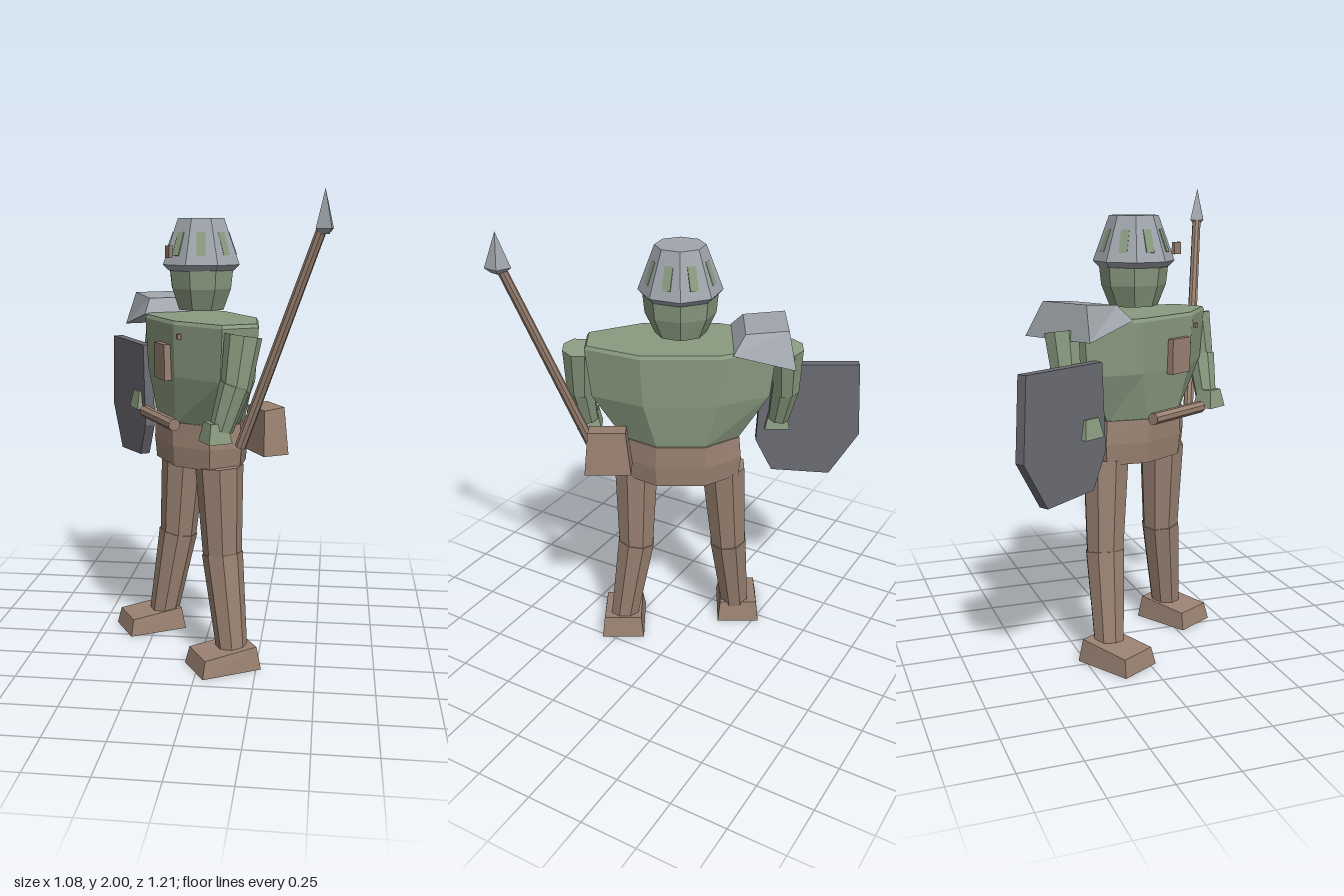
import * as THREE from 'three';

const mat = (name, color) => {
  const m = new THREE.MeshStandardMaterial({ color });
  m.name = name;
  return m;
};

export function createModel() {
  const green = mat('moss green', 0x8a9b80);
  const brown = mat('leather brown', 0x9a8272);
  const steel = mat('steel grey', 0xa0a6ac);
  const dark = mat('dark iron', 0x6c6c74);

  const model = new THREE.Group();
  model.name = 'soldier';
  const body = new THREE.Group();
  body.name = 'body';
  body.rotation.y = -Math.PI / 3; // the figure stands turned to its right
  model.add(body);

  // flat normals for a faceted look
  const add = (name, geo, material, x = 0, y = 0, z = 0) => {
    const g = geo.index ? geo.toNonIndexed() : geo;
    g.computeVertexNormals();
    const m = new THREE.Mesh(g, material);
    m.name = name;
    m.position.set(x, y, z);
    body.add(m);
    return m;
  };

  // stacked eight-sided rings: [y, half width, half depth], bottom to top
  const loft = (rings, phase = Math.PI / 8) => {
    const n = rings.length - 1;
    const g = new THREE.CylinderGeometry(1, 1, 1, 8, n).rotateY(phase);
    const p = g.attributes.position;
    for (let i = 0; i < p.count; i++) {
      const [y, a, b] = rings[Math.round((p.getY(i) + 0.5) * n)];
      p.setXYZ(i, p.getX(i) * a, y, p.getZ(i) * b);
    }
    return g;
  };

  // box whose corners follow a rule; sx, sy, sz are -1 or 1
  const block = (rule) => {
    const g = new THREE.BoxGeometry(2, 2, 2);
    const p = g.attributes.position;
    for (let i = 0; i < p.count; i++) {
      p.setXYZ(i, ...rule(p.getX(i), p.getY(i), p.getZ(i)));
    }
    return g;
  };

  // tapered limb between two points
  const limb = (name, a, b, ra, rb, material, sides = 8) => {
    const from = new THREE.Vector3(...a), dir = new THREE.Vector3(...b).sub(from);
    const g = new THREE.CylinderGeometry(rb, ra, dir.length(), sides).rotateY(Math.PI / 8);
    const m = add(name, g, material);
    m.position.copy(from).addScaledVector(dir, 0.5);
    m.quaternion.setFromUnitVectors(new THREE.Vector3(0, 1, 0), dir.normalize());
    return m;
  };

  const cx = 0.028, cz = 0.037;

  // torso and hips
  add('torso', loft([[1.04, 0.265, 0.175], [1.25, 0.41, 0.2], [1.465, 0.435, 0.208], [1.48, 0.425, 0.2]]), green, cx, 0, cz);
  add('hips', loft([[0.86, 0.275, 0.18], [0.95, 0.285, 0.188], [1.05, 0.275, 0.185]]), brown, cx, 0, cz);

  // head and helmet
  add('head', loft([[1.51, 0.108, 0.1], [1.6, 0.15, 0.13], [1.7, 0.16, 0.142]], 0), green, cx, 0, cz);
  add('helmet', loft([[1.675, 0.155, 0.145], [1.7, 0.178, 0.172], [1.89, 0.106, 0.104]], 0), steel, cx, 0, cz);
  for (let k = 0; k < 8; k++) {
    const a = Math.PI / 8 + k * Math.PI / 4;
    const slot = add('helmetSlot', new THREE.BoxGeometry(0.036, 0.1, 0.009), green,
      cx + Math.sin(a) * 0.131, 1.785, cz + Math.cos(a) * 0.131);
    slot.rotation.set(-0.34, a, 0, 'YXZ');
  }
  add('helmetClasp', new THREE.BoxGeometry(0.045, 0.05, 0.015), brown, 0.1, 1.755, 0.21);

  // chest fittings and belt roll
  add('chestPatch', new THREE.BoxGeometry(0.12, 0.15, 0.035), brown, 0.09, 1.305, 0.235);
  add('chestStud', new THREE.BoxGeometry(0.015, 0.02, 0.015), brown, 0.23, 1.42, 0.22);
  limb('beltRoll', [-0.1, 1.06, 0.25], [0.24, 1.06, 0.245], 0.026, 0.026, brown);

  // hip pouch
  add('pouch', block((x, y, z) => {
    const t = y > 0 ? 0.8 : 1;
    return [x * 0.1 * t, y * 0.095 + (y > 0 ? -z * 0.005 : 0), z * 0.056 * t];
  }), brown, 0.34, 1.035, -0.122);

  // arms
  for (const s of [1, -1]) {
    const side = s > 0 ? 'left' : 'right';
    const at = (u, y, w) => [0.018 + s * u, y, w];
    limb(side + 'UpperArm', at(0.448, 1.225, 0.075), at(0.44, 1.44, 0.038), 0.06, 0.075, green);
    limb(side + 'Forearm', at(0.425, 1.07, 0.125), at(0.448, 1.25, 0.075), 0.048, 0.064, green);
    add(side + 'Hand', block((x, y, z) => {
      const t = y > 0 ? 0.7 : 1;
      return [x * 0.055 * t, y * 0.04, z * 0.05 * t];
    }), green, ...at(0.42, 1.06, 0.148));
  }

  // legs: hip, knee, ankle, foot centre
  const legs = {
    left: [[0.227, 0.87, 0.038], [0.236, 0.475, 0.026], [0.3, 0.08, 0.01], [0.305, 0.054]],
    right: [[-0.16, 0.87, 0.04], [-0.19, 0.46, 0.06], [-0.23, 0.08, 0.117], [-0.246, 0.177]],
  };
  for (const [side, [hip, knee, ankle, foot]] of Object.entries(legs)) {
    limb(side + 'Thigh', knee, hip, 0.083, 0.102, brown);
    limb(side + 'Shin', ankle, [knee[0], knee[1] + 0.01, knee[2]], 0.067, 0.088, brown);
    add(side + 'Foot', block((x, y, z) => {
      const t = y > 0 ? 0.88 : 1;
      return [x * 0.098 * t, y < 0 ? 0 : (z > 0 ? 0.075 : 0.1), z * 0.135 * t];
    }), brown, foot[0], 0, foot[1]);
  }

  // shoulder guard, thicker on its outer side
  add('shoulderGuard', block((x, y, z) => y > 0
    ? [x < 0 ? -0.42 : -0.24, x < 0 ? 1.555 : 1.54, z < 0 ? -0.065 : 0.172]
    : [x < 0 ? -0.447 : -0.187, x < 0 ? 1.41 : 1.475, z < 0 ? -0.142 : 0.214]), steel);

  // shield beside the right hand
  const outline = [[-0.755, 1.32], [-0.775, 0.98], [-0.65, 0.78], [-0.385, 0.8], [-0.31, 0.95], [-0.33, 1.32]];
  const shape = new THREE.Shape(outline.map(([x, y]) => new THREE.Vector2(x, y)));
  add('shield', new THREE.ExtrudeGeometry(shape, { depth: 0.045, bevelEnabled: false }), dark, 0, 0, 0.128);

  // spear in the left hand
  const toLocal = (x, y, z) => [0.5 * x + 0.866 * z, y, -0.866 * x + 0.5 * z];
  limb('spearShaft', toLocal(0.185, 0.99, 0.39), toLocal(0.497, 1.86, 0.555), 0.023, 0.02, brown);
  const [hx, , hz] = toLocal(0.505, 0, 0.56);
  const headGeo = new THREE.CylinderGeometry(1, 1, 1, 4, 2);
  const p = headGeo.attributes.position;
  for (let i = 0; i < p.count; i++) {
    const y = p.getY(i), w = y > 0.1 ? 0.001 : y < -0.1 ? 0.5 : 1;
    p.setXYZ(i, p.getX(i) * w * 0.053, y > 0.1 ? 2 : y < -0.1 ? 1.835 : 1.855, p.getZ(i) * w * 0.038);
  }
  add('spearhead', headGeo, steel, hx, 0, hz);

  return model;
}
